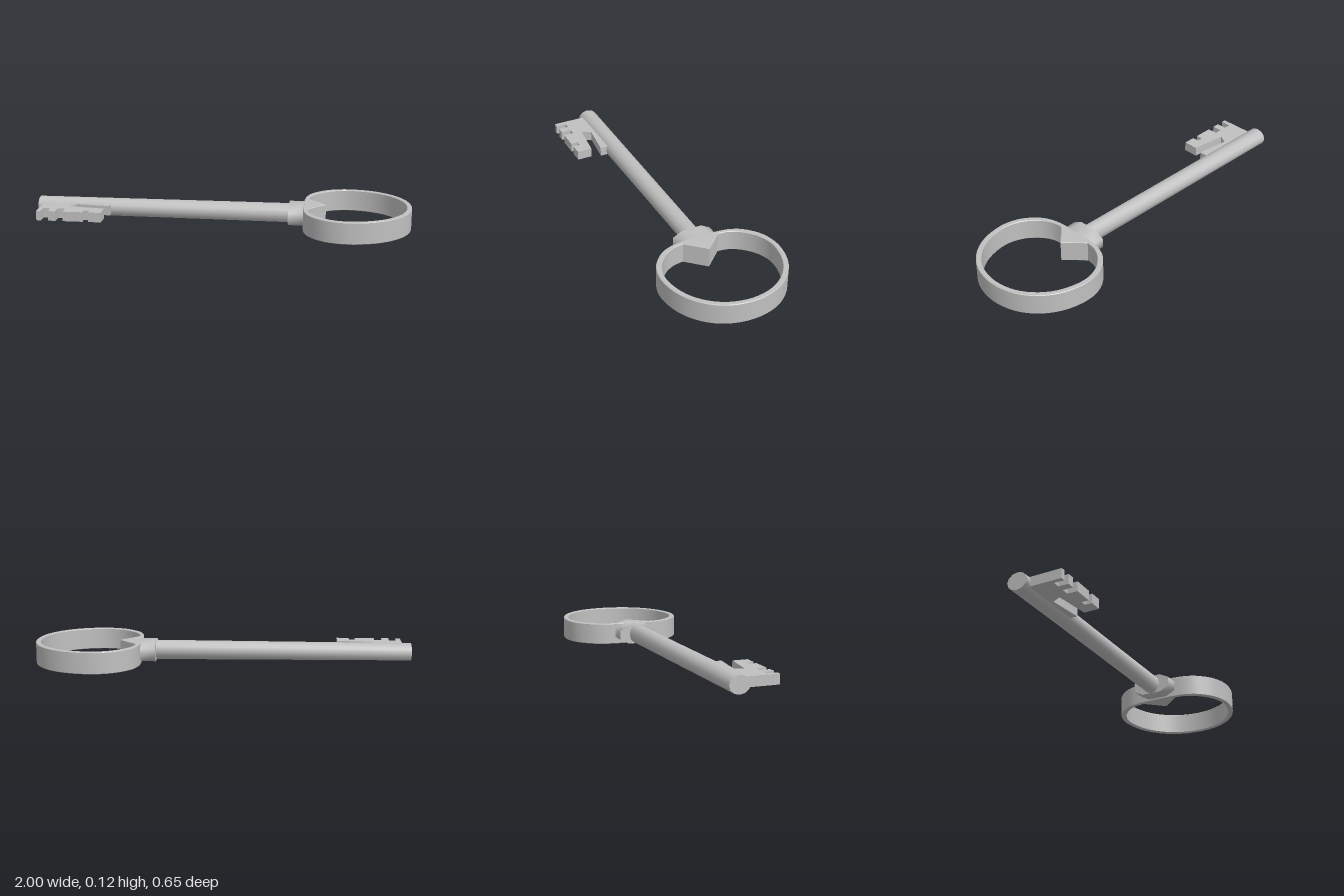
import * as THREE from 'three';
import { toCreasedNormals } from 'three/addons/utils/BufferGeometryUtils.js';

const V = (x, z) => new THREE.Vector2(x, -z);

// Extrude a plan outline (x, z) upwards from height y
function plate(shape, y, height, bevel) {
  const geo = new THREE.ExtrudeGeometry(shape, {
    depth: height - 2 * bevel, bevelEnabled: bevel > 0, bevelSize: bevel,
    bevelThickness: bevel, bevelOffset: -bevel, bevelSegments: 1,
  });
  geo.rotateX(-Math.PI / 2);
  geo.translate(0, y + bevel, 0);
  return toCreasedNormals(geo, 0.6);
}

// Smooth open loop: half a curve, starting on the key's axis, and its mirror image
function mirroredLoop(half) {
  const back = half.slice(1).reverse().map(([x, z]) => V(x, -z));
  const front = half.map(([x, z]) => V(x, z));
  return new THREE.SplineCurve([...back, ...front]).getPoints(64);
}

export function createModel() {
  const key = new THREE.Group();
  const metal = new THREE.MeshStandardMaterial({ color: 0xc0c0c0 });
  metal.name = 'grey metal';
  const add = (name, geo) => {
    const mesh = new THREE.Mesh(geo, metal);
    mesh.name = name;
    key.add(mesh);
  };

  // Heart-shaped bow: outer rim closes straight, the opening ends in a cusp
  const outer = mirroredLoop([[1, 0], [0.975, 0.13], [0.905, 0.232], [0.8, 0.301], [0.67, 0.327],
    [0.56, 0.302], [0.48, 0.236], [0.444, 0.165], [0.433, 0.09]]);
  const inner = mirroredLoop([[0.974, 0], [0.95, 0.12], [0.884, 0.214], [0.79, 0.275], [0.67, 0.3],
    [0.575, 0.277], [0.505, 0.222], [0.467, 0.16], [0.456, 0.1]]);
  const bow = new THREE.Shape(outer);
  bow.holes.push(new THREE.Path([...inner, V(0.55, 0)].reverse()));
  add('bow', plate(bow, 0, 0.115, 0.003));

  // Collar with chamfered corners, extruded along x
  const section = [[0.105, 0.025], [0.055, 0.052], [-0.055, 0.052], [-0.105, 0.025],
    [-0.105, -0.025], [-0.055, -0.052], [0.055, -0.052], [0.105, -0.025]];
  const collar = new THREE.ExtrudeGeometry(
    new THREE.Shape(section.map(p => new THREE.Vector2(...p))), { depth: 0.085, bevelEnabled: false });
  collar.rotateY(-Math.PI / 2);
  collar.translate(0.44, 0.062, 0);
  add('collar', toCreasedNormals(collar, 1.2));

  // Shaft: oval section that changes gently along its length
  const shaft = new THREE.CylinderGeometry(1, 1, 1.38, 12, 1);
  shaft.rotateZ(-Math.PI / 2);
  shaft.translate(-0.31, 0, 0);
  const pos = shaft.attributes.position;
  for (let i = 0; i < pos.count; i++) {
    const t = (pos.getX(i) + 1) / 1.38;
    pos.setY(i, 0.063 + pos.getY(i) * (0.047 + 0.006 * t));
    pos.setZ(i, -0.003 * (1 - t) + pos.getZ(i) * (0.055 - 0.007 * t));
  }
  add('shaft', toCreasedNormals(shaft, 0.9));

  // Bit with its slot and teeth
  const bit = new THREE.Shape([
    [-0.965, 0], [-0.965, 0.218], [-0.94, 0.218], [-0.94, 0.163], [-0.902, 0.163], [-0.902, 0.218],
    [-0.862, 0.218], [-0.862, 0.163], [-0.822, 0.163], [-0.822, 0.218], [-0.717, 0.218], [-0.717, 0.18],
    [-0.685, 0.18], [-0.685, 0.218], [-0.618, 0.218], [-0.618, 0.135], [-0.81, 0.112],
    [-0.785, 0.064], [-0.6, 0.085], [-0.6, 0],
  ].map(p => V(...p)));
  add('bit', plate(bit, 0.038, 0.052, 0));

  return key;
}
